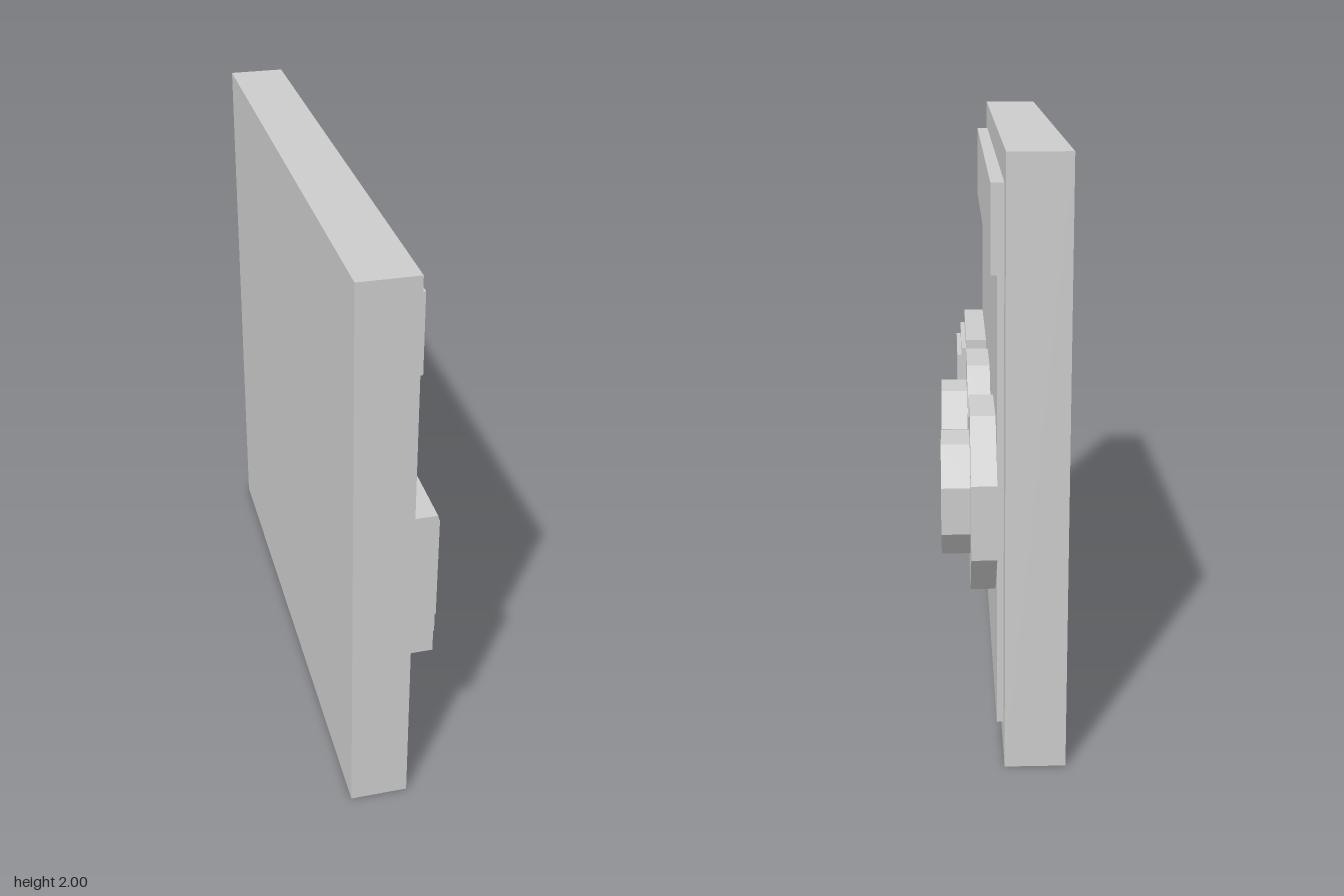
import * as THREE from 'three';

export function createModel() {
  const model = new THREE.Group();
  model.name = 'wallControlPanel';
  const grey = new THREE.MeshStandardMaterial({ color: 0xcccccc });
  grey.name = 'plain grey';

  const add = (name, geometry, parent = model) => {
    const mesh = new THREE.Mesh(geometry, grey);
    mesh.name = name;
    parent.add(mesh);
  };

  // Box spanning x0..x1, centred at (y, z)
  const slab = (x0, x1, y, z, h, d) =>
    new THREE.BoxGeometry(x1 - x0, h, d).translate((x0 + x1) / 2, y, z);

  // Octagonal prism along x, flat sides facing up and sideways
  const octagon = (x0, x1, y, z, apothem) => {
    const r = apothem / Math.cos(Math.PI / 8);
    return new THREE.CylinderGeometry(r, r, x1 - x0, 8, 1, false, Math.PI / 8)
      .rotateZ(-Math.PI / 2)
      .translate((x0 + x1) / 2, y, z)
      .toNonIndexed();
  };

  // Back board, raised face plate and thicker header strip
  add('backBoard', slab(-0.2, 0, 1, 0, 2, 2));
  add('facePlate', slab(0, 0.022, 1, 0, 1.79, 1.79));
  add('headerStrip', slab(0, 0.042, 1.757, 0, 0.28, 1.79));

  // Stepped square button
  const button = new THREE.Group();
  button.name = 'squareButton';
  model.add(button);
  add('buttonBase', slab(0.022, 0.102, 0.828, 0.64, 0.556, 0.556), button);
  add('buttonRim', slab(0.102, 0.12, 0.828, 0.64, 0.468, 0.468), button);
  add('buttonCap', slab(0.12, 0.137, 0.828, 0.64, 0.388, 0.388), button);

  // Two octagonal dials with knobs
  for (const [name, z] of [['middleDial', 0], ['rearDial', -0.635]]) {
    const dial = new THREE.Group();
    dial.name = name;
    model.add(dial);
    add('dialBase', octagon(0.022, 0.105, 0.828, z, 0.302), dial);
    add('dialKnob', octagon(0.105, 0.2, 0.828, z, 0.192), dial);
  }
  // Facets need crisp normals
  model.traverse((o) => {
    if (o.isMesh && !o.geometry.index) o.geometry.computeVertexNormals();
  });
  return model;
}
